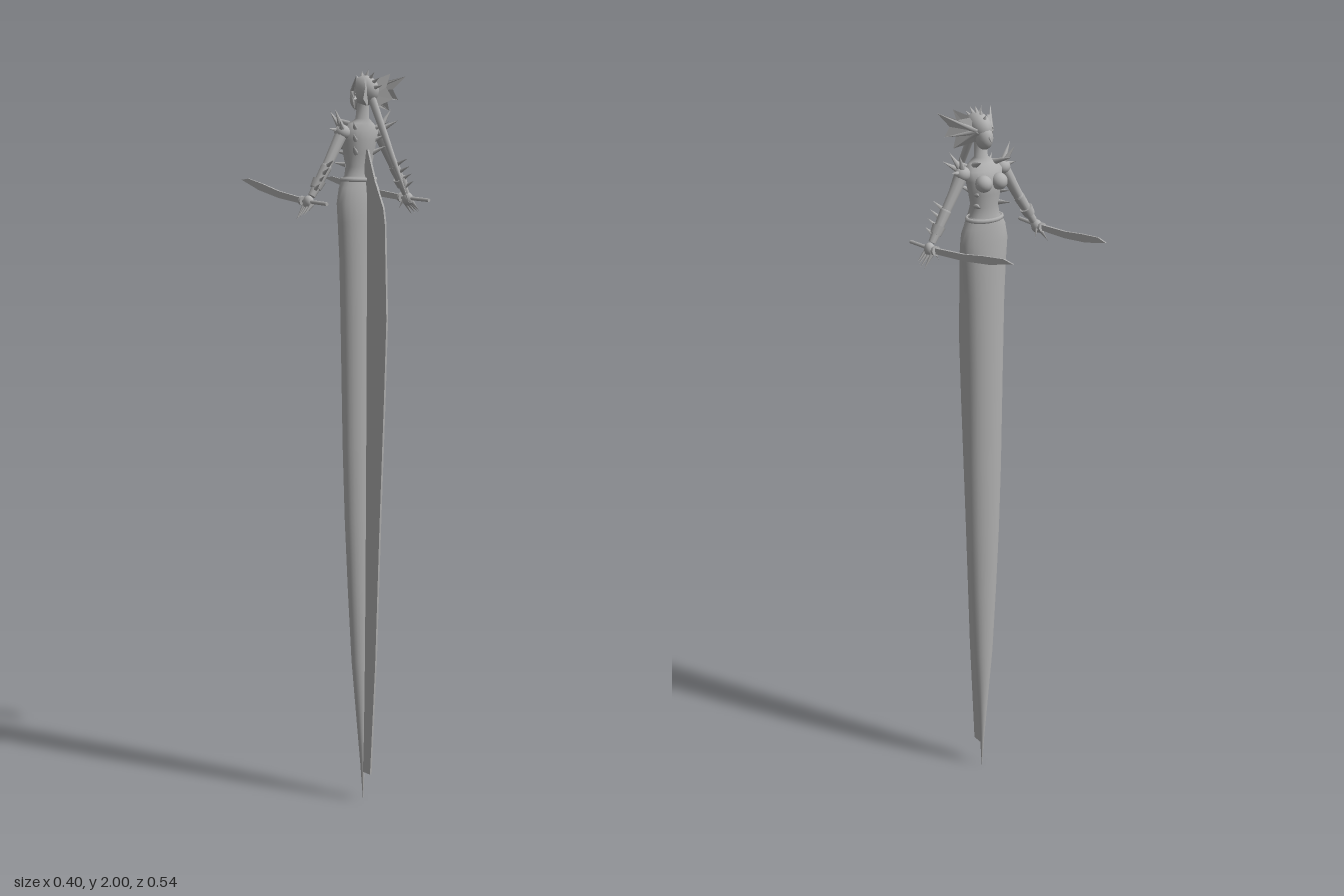
import * as THREE from 'three';

const grey = new THREE.MeshStandardMaterial({ color: 0xb0b0b0 });
grey.name = 'stone grey';
const greySheet = new THREE.MeshStandardMaterial({ color: 0xb0b0b0, side: THREE.DoubleSide });
greySheet.name = 'stone grey sheet';

const V = (x, y, z) => new THREE.Vector3(x, y, z);

function add(parent, name, geometry, material = grey) {
  const mesh = new THREE.Mesh(geometry, material);
  mesh.name = name;
  parent.add(mesh);
  return mesh;
}

// Skin of elliptical rings [y, z, rx, rz] stacked upwards
function loft(rings, n = 20) {
  const pos = [], idx = [];
  for (const [y, z, rx, rz] of rings)
    for (let i = 0; i < n; i++) {
      const a = (i / n) * Math.PI * 2;
      pos.push(Math.sin(a) * rx, y, z + Math.cos(a) * rz);
    }
  for (let r = 0; r < rings.length - 1; r++)
    for (let i = 0; i < n; i++) {
      const a = r * n + i, b = r * n + (i + 1) % n;
      idx.push(a, b, b + n, a, b + n, a + n);
    }
  const g = new THREE.BufferGeometry();
  g.setAttribute('position', new THREE.Float32BufferAttribute(pos, 3));
  g.setIndex(idx);
  g.computeVertexNormals();
  return g;
}

// Tapered limb between two points; r1 = 0 makes a spike
function limb(a, b, r0, r1, n = 10, flatX = 1) {
  const dir = b.clone().sub(a);
  const g = new THREE.CylinderGeometry(r1, r0, dir.length(), n);
  g.scale(flatX, 1, 1);
  g.applyQuaternion(new THREE.Quaternion().setFromUnitVectors(V(0, 1, 0), dir.normalize()));
  const c = a.clone().add(b).multiplyScalar(0.5);
  return g.translate(c.x, c.y, c.z);
}

function ball(c, rx, ry, rz) {
  return new THREE.SphereGeometry(1, 16, 12).scale(rx, ry, rz).translate(c.x, c.y, c.z);
}

// Plate cut from a (z, y) outline, centred on the given x
function plate(points, thick, x = 0) {
  const shape = new THREE.Shape(points.map(([z, y]) => new THREE.Vector2(-z, y)));
  const g = new THREE.ExtrudeGeometry(shape, { depth: thick, bevelEnabled: false });
  return g.translate(0, 0, -thick / 2).rotateY(Math.PI / 2).translate(x, 0, 0);
}

// Webbed sheet fanned from a root through the rim points
function web(root, rim) {
  const pos = [];
  for (let i = 0; i < rim.length - 1; i++)
    for (const p of [root, rim[i], rim[i + 1]]) pos.push(p.x, p.y, p.z);
  const g = new THREE.BufferGeometry();
  g.setAttribute('position', new THREE.Float32BufferAttribute(pos, 3));
  g.computeVertexNormals();
  return g;
}

function buildArm(s) {
  const arm = new THREE.Group();
  arm.name = s > 0 ? 'leftArm' : 'rightArm';
  const P = (x, y, z) => V(s * x, y, z);
  const shoulder = P(0.062, 1.835, 0.068), elbow = P(0.115, 1.745, 0.068), wrist = P(0.16, 1.672, 0.064);
  add(arm, 'shoulder', ball(shoulder, 0.021, 0.02, 0.021));
  add(arm, 'upperArm', limb(shoulder, elbow, 0.017, 0.013));
  add(arm, 'elbow', ball(elbow, 0.014, 0.014, 0.014));
  add(arm, 'forearm', limb(elbow, wrist, 0.015, 0.01));
  add(arm, 'bracer', limb(P(0.136, 1.712, 0.066), P(0.148, 1.692, 0.065), 0.018, 0.015));

  // Pauldron spikes
  for (const [x, y, z] of [[0.095, 1.895, 0.08], [0.098, 1.865, 0.105], [0.085, 1.89, 0.045], [0.1, 1.845, 0.06]])
    add(arm, 'shoulderSpike', limb(P(0.06, 1.838, 0.068), P(x, y, z), 0.011, 0, 6));

  // Fins behind the forearm
  for (let i = 0; i < 4; i++) {
    const t = i / 3, p = elbow.clone().lerp(wrist, t * 0.8);
    add(arm, 'forearmSpike', limb(p, P(0.125 + 0.034 * t, 1.765 - 0.06 * t, 0.112 - 0.014 * t), 0.008, 0, 5));
  }

  // Hand with claws
  add(arm, 'palm', ball(P(0.169, 1.656, 0.062), 0.014, 0.018, 0.016));
  for (let i = 0; i < 4; i++) {
    const z = 0.047 + i * 0.01;
    add(arm, 'claw', limb(P(0.17, 1.65, z), P(0.203 - Math.abs(i - 1.5) * 0.004, 1.612 + i * 0.004, z), 0.006, 0, 6));
  }
  add(arm, 'thumb', limb(P(0.165, 1.66, 0.055), P(0.152, 1.63, 0.045), 0.005, 0, 6));

  // Sword: grip, guard and curved blade reaching towards -z
  const sword = new THREE.Group();
  sword.name = 'sword';
  arm.add(sword);
  add(sword, 'grip', limb(P(0.173, 1.655, 0.145), P(0.168, 1.66, 0.035), 0.005, 0.005, 8));
  add(sword, 'guard', limb(P(0.168, 1.659, 0.04), P(0.168, 1.66, 0.032), 0.013, 0.013, 8));
  const blade = plate([[0.035, 1.652], [-0.08, 1.663], [-0.18, 1.68], [-0.27, 1.705],
    [-0.235, 1.709], [-0.16, 1.697], [-0.08, 1.681], [0.035, 1.667]], 0.008);
  const p = blade.attributes.position;
  for (let i = 0; i < p.count; i++) {
    const t = (0.035 - p.getZ(i)) / 0.305;
    p.setX(i, s * (0.168 - 0.026 * t) + p.getX(i) * (1 - 0.5 * t));
  }
  blade.computeVertexNormals();
  add(sword, 'blade', blade);
  return arm;
}

export function createModel() {
  const model = new THREE.Group();
  model.name = 'serpentWarrior';

  // Long serpent tail
  add(model, 'tail', loft([
    [0, 0.083, 0.0005, 0.0005], [0.1, 0.081, 0.006, 0.007], [0.2, 0.078, 0.013, 0.013],
    [0.4, 0.073, 0.029, 0.021], [0.6, 0.07, 0.039, 0.026], [0.8, 0.067, 0.047, 0.03],
    [1.0, 0.065, 0.052, 0.033], [1.3, 0.063, 0.056, 0.036], [1.5, 0.062, 0.06, 0.037],
    [1.6, 0.062, 0.066, 0.038], [1.65, 0.062, 0.07, 0.038], [1.69, 0.061, 0.062, 0.036],
    [1.72, 0.06, 0.046, 0.032],
  ], 24));
  add(model, 'tailFin', plate([[0.08, 0.08], [0.117, 0.08], [0.138, 0.4], [0.155, 0.8],
    [0.172, 1.15], [0.18, 1.35], [0.172, 1.6], [0.165, 1.64], [0.13, 1.71], [0.1, 1.79], [0.07, 1.79]], 0.006));

  // Torso
  add(model, 'torso', loft([
    [1.69, 0.061, 0.056, 0.034], [1.72, 0.06, 0.043, 0.03], [1.745, 0.06, 0.039, 0.028],
    [1.78, 0.06, 0.045, 0.034], [1.815, 0.062, 0.052, 0.038], [1.84, 0.067, 0.056, 0.032],
    [1.858, 0.072, 0.036, 0.024], [1.87, 0.075, 0.018, 0.018], [1.91, 0.078, 0.016, 0.016],
  ]));
  const belt = new THREE.TorusGeometry(1, 0.1, 8, 24).rotateX(Math.PI / 2).scale(0.05, 0.06, 0.036).translate(0, 1.712, 0.06);
  add(model, 'belt', belt);

  for (const s of [1, -1]) {
    add(model, 'breast', ball(V(s * 0.024, 1.812, 0.028), 0.022, 0.022, 0.023));
    add(model, 'collarSpike', limb(V(s * 0.03, 1.855, 0.06), V(s * 0.046, 1.875, 0.005), 0.009, 0, 6));
    // Rib spikes
    for (let i = 0; i < 3; i++) {
      const y = 1.75 + i * 0.03;
      add(model, 'ribSpike', limb(V(s * 0.033, y, 0.05), V(s * 0.047, y + 0.006, 0.008 + i * 0.006), 0.008, 0, 6));
      add(model, 'backSpike', limb(V(s * 0.025, y + 0.03, 0.08), V(s * 0.06, y + 0.052, 0.112), 0.008, 0, 6));
    }
    model.add(buildArm(s));
  }

  // Head
  const head = new THREE.Group();
  head.name = 'head';
  model.add(head);
  add(head, 'skull', ball(V(0, 1.942, 0.086), 0.03, 0.039, 0.045));
  add(head, 'face', ball(V(0, 1.922, 0.06), 0.022, 0.031, 0.026));
  add(head, 'nose', limb(V(0, 1.93, 0.04), V(0, 1.917, 0.028), 0.005, 0.001, 6));

  // Webbed fins sweeping out and back from the head
  for (const s of [1, -1]) {
    const P = (x, y, z) => V(s * x, y, z);
    const root = P(0.02, 1.94, 0.06);
    add(head, 'headFin', web(root, [P(0.026, 1.972, 0.085), P(0.05, 1.965, 0.105), P(0.083, 1.978, 0.152),
      P(0.062, 1.945, 0.125), P(0.074, 1.918, 0.132), P(0.05, 1.92, 0.115), P(0.058, 1.89, 0.115), P(0.022, 1.91, 0.075)]), greySheet);
    for (const [x, y, z] of [[0.083, 1.978, 0.152], [0.074, 1.918, 0.132], [0.058, 1.89, 0.115]])
      add(head, 'finRay', limb(root, P(x, y, z), 0.008, 0, 6));
    add(head, 'rearFin', web(P(0.008, 1.93, 0.11), [P(0.015, 1.97, 0.11), P(0.045, 1.985, 0.135),
      P(0.035, 1.95, 0.13), P(0.05, 1.92, 0.14), P(0.015, 1.9, 0.115)]), greySheet);
  }

  // Crest spikes along the middle of the skull
  for (let i = 0; i < 6; i++) {
    const a = -0.75 + i * 0.42;
    const at = r => V(0, 1.942 + Math.cos(a) * 0.036 * r, 0.086 + Math.sin(a) * 0.042 * r);
    add(head, 'crestSpike', limb(at(0.9), at(1.5).add(V(0, 0, 0.008)), 0.007, 0, 6));
  }

  // Long braid blade hanging behind the head
  add(head, 'braid', limb(V(0, 1.92, 0.115), V(0, 1.77, 0.2), 0.012, 0.008, 8, 0.8));
  add(head, 'braidTip', limb(V(0, 1.77, 0.2), V(0, 1.65, 0.27), 0.008, 0, 8, 0.8));
  return model;
}
